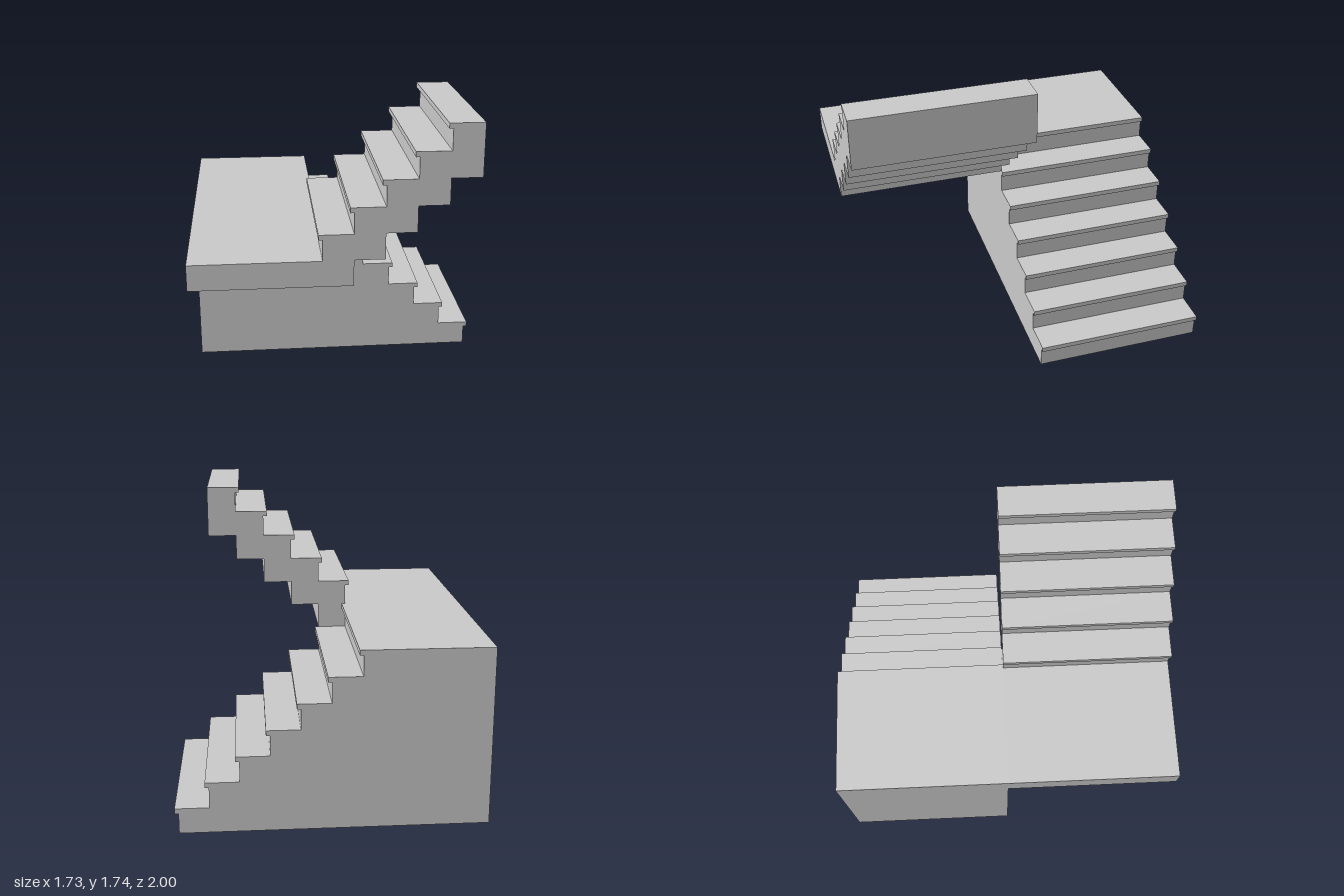
import * as THREE from 'three';

const RISE = 0.1452, RUN = 0.1663;      // one step
const NOSE = 0.0215, LIP = 0.029;       // tread overhang and thickness
const LEFT = -0.865, TURN = 0.011;      // landing: outer edge, edge at the upper flight
const LANDING_TOP = RISE * 7;

const material = new THREE.MeshStandardMaterial({ color: 0xcccccc, flatShading: true });

// Outline of one riser with its projecting tread; dir = way the nosing points
function addStep(points, riserX, bottom, dir) {
  const top = bottom + RISE;
  points.push(
    [riserX, bottom],
    [riserX, top - LIP],
    [riserX + dir * NOSE, top - LIP],
    [riserX + dir * NOSE, top]
  );
}

// Side profile in x/y, extruded one flight width along z
function flight(name, points, z) {
  const shape = new THREE.Shape(points.map(([x, y]) => new THREE.Vector2(x, y)));
  const geometry = new THREE.ExtrudeGeometry(shape, { depth: 1, bevelEnabled: false });
  const mesh = new THREE.Mesh(geometry, material);
  mesh.name = name;
  mesh.position.z = z;
  return mesh;
}

export function createModel() {
  const group = new THREE.Group();
  group.name = 'staircase';

  // Solid lower flight: seven risers, the last one reaching the landing
  const lower = [[LEFT, 0]];
  for (let i = 0; i < 7; i++) addStep(lower, TURN + (5 - i) * RUN, i * RISE, 1);
  lower.push([LEFT, LANDING_TOP]);
  group.add(flight('lowerFlight', lower, -1));

  // Overhanging half of the landing
  const slab = new THREE.Mesh(new THREE.BoxGeometry(TURN - LEFT, RISE, 1), material);
  slab.name = 'landing';
  slab.position.set((LEFT + TURN) / 2, LANDING_TOP - RISE / 2, 0.5);
  group.add(slab);

  // Upper flight: five risers going back the other way, with a stepped underside
  const upper = [];
  for (let i = 0; i < 5; i++) addStep(upper, TURN + (i - 1) * RUN, LANDING_TOP + i * RISE, -1);
  const end = TURN + 4 * RUN;
  upper.push([end, LANDING_TOP + 5 * RISE]);
  for (let i = 3; i >= 0; i--) {
    const x = TURN + (i + 1) * RUN, y = LANDING_TOP + i * RISE;
    if (i < 3) upper.push([x, y + RISE]);
    upper.push([x, y]);
  }
  group.add(flight('upperFlight', upper, 0));

  return group;
}
